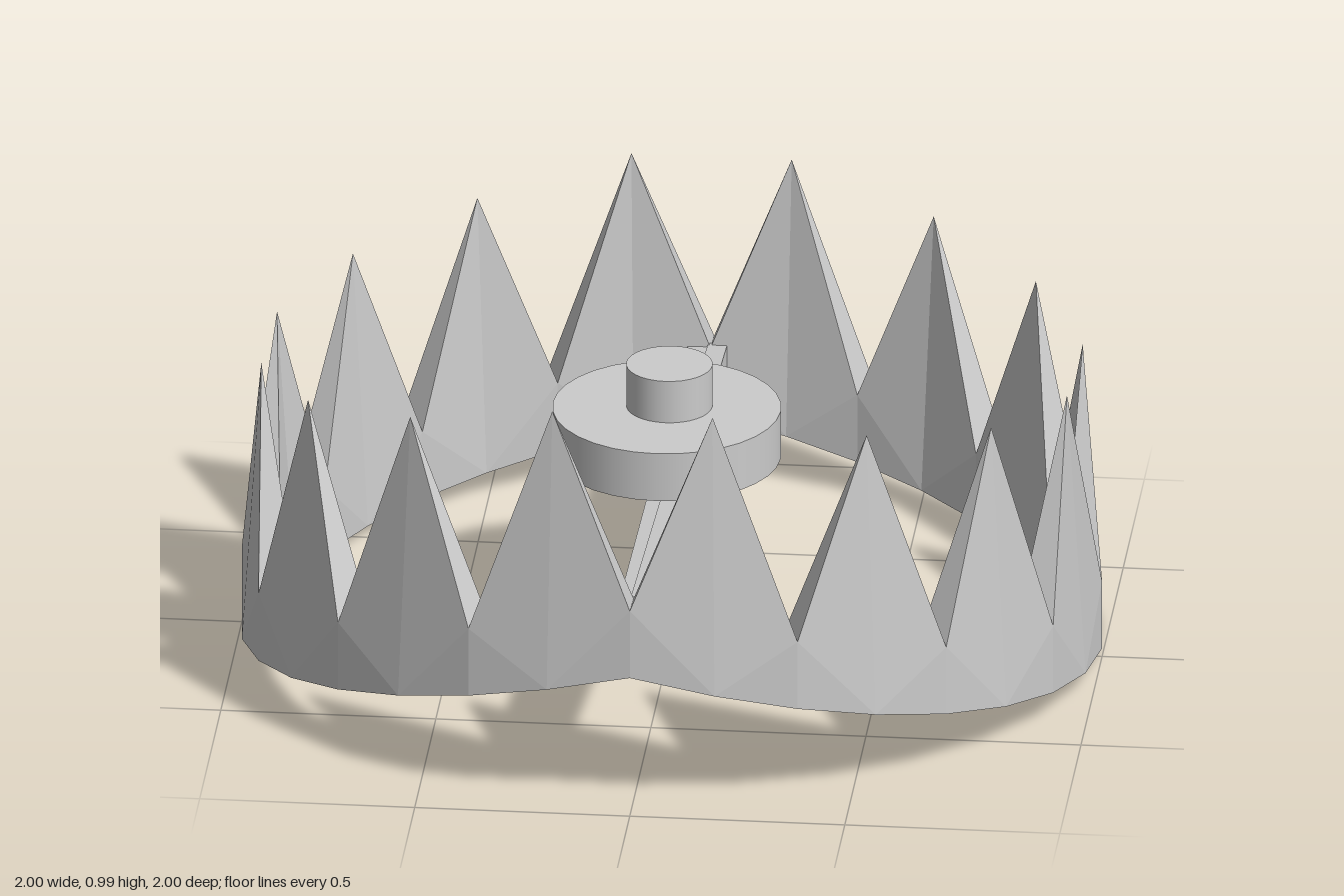
import * as THREE from 'three';

const R_OUT = 1, R_IN = 0.91, R_TIP = 0.955;
const TEETH = 8; // per jaw
const VALLEY = 0.17, TOOTH = 0.69;

const material = new THREE.MeshStandardMaterial({ color: 0xcccccc, flatShading: true });
const smooth = new THREE.MeshStandardMaterial({ color: 0xcccccc });

// Point on a jaw: each half ring drops away from the hinge line and leans back
function ringPoint(angle, radius, height) {
  const x = radius * Math.sin(angle), z = radius * Math.cos(angle);
  const base = 0.255 + 0.1 * z - 0.23 * Math.abs(x);
  return [x, base + height, z];
}

// Half ring of pointed teeth, starting at the given angle
function jawGeometry(start) {
  const pos = [];
  const tri = (a, b, c) => pos.push(...a, ...b, ...c);
  const quad = (a, b, c, d) => { tri(a, b, c); tri(a, c, d); };
  const step = Math.PI / TEETH;

  for (let i = 0; i < TEETH; i++) {
    const a0 = start + i * step, a1 = a0 + step, am = a0 + step / 2;
    const tip = ringPoint(am, R_TIP, TOOTH);
    const column = (a, r) => ({ foot: ringPoint(a, r, 0), top: ringPoint(a, r, VALLEY) });
    const o0 = column(a0, R_OUT), o1 = column(a1, R_OUT), om = ringPoint(am, R_OUT, 0);
    const n0 = column(a0, R_IN), n1 = column(a1, R_IN), nm = ringPoint(am, R_IN, 0);
    // outer side
    tri(o0.foot, om, o0.top);
    tri(om, o1.foot, o1.top);
    tri(o0.top, om, tip);
    tri(om, o1.top, tip);
    // inner side
    tri(nm, n0.foot, n0.top);
    tri(n1.foot, nm, n1.top);
    tri(nm, n0.top, tip);
    tri(n1.top, nm, tip);
    // tooth flanks
    tri(n0.top, o0.top, tip);
    tri(o1.top, n1.top, tip);
    // underside
    quad(n0.foot, nm, om, o0.foot);
    quad(nm, n1.foot, o1.foot, om);
  }
  const geometry = new THREE.BufferGeometry();
  geometry.setAttribute('position', new THREE.Float32BufferAttribute(pos, 3));
  geometry.computeVertexNormals();
  return geometry;
}

export function createModel() {
  const group = new THREE.Group();
  const add = (name, geometry, mat, x = 0, y = 0, z = 0) => {
    const mesh = new THREE.Mesh(geometry, mat);
    mesh.name = name;
    mesh.position.set(x, y, z);
    group.add(mesh);
    return mesh;
  };

  // Toothed jaws
  add('leftJaw', jawGeometry(0), material);
  add('rightJaw', jawGeometry(Math.PI), material);

  // Cross bar made of two flat rails side by side
  const leftRail = add('leftRail', new THREE.BoxGeometry(0.045, 0.155, 1.84), material, 0.016, 0.353, 0);
  const rightRail = add('rightRail', new THREE.BoxGeometry(0.045, 0.145, 1.84), material, -0.02, 0.353, 0);
  leftRail.rotation.x = rightRail.rotation.x = -0.098;
  rightRail.rotation.y = 0.011;

  // Trigger plate and the peg on top of it
  add('triggerPlate', new THREE.CylinderGeometry(0.265, 0.265, 0.12, 32), smooth, -0.015, 0.52, -0.03);
  add('triggerPeg', new THREE.CylinderGeometry(0.1, 0.1, 0.11, 32), smooth, -0.01, 0.63, -0.04);

  return group;
}
